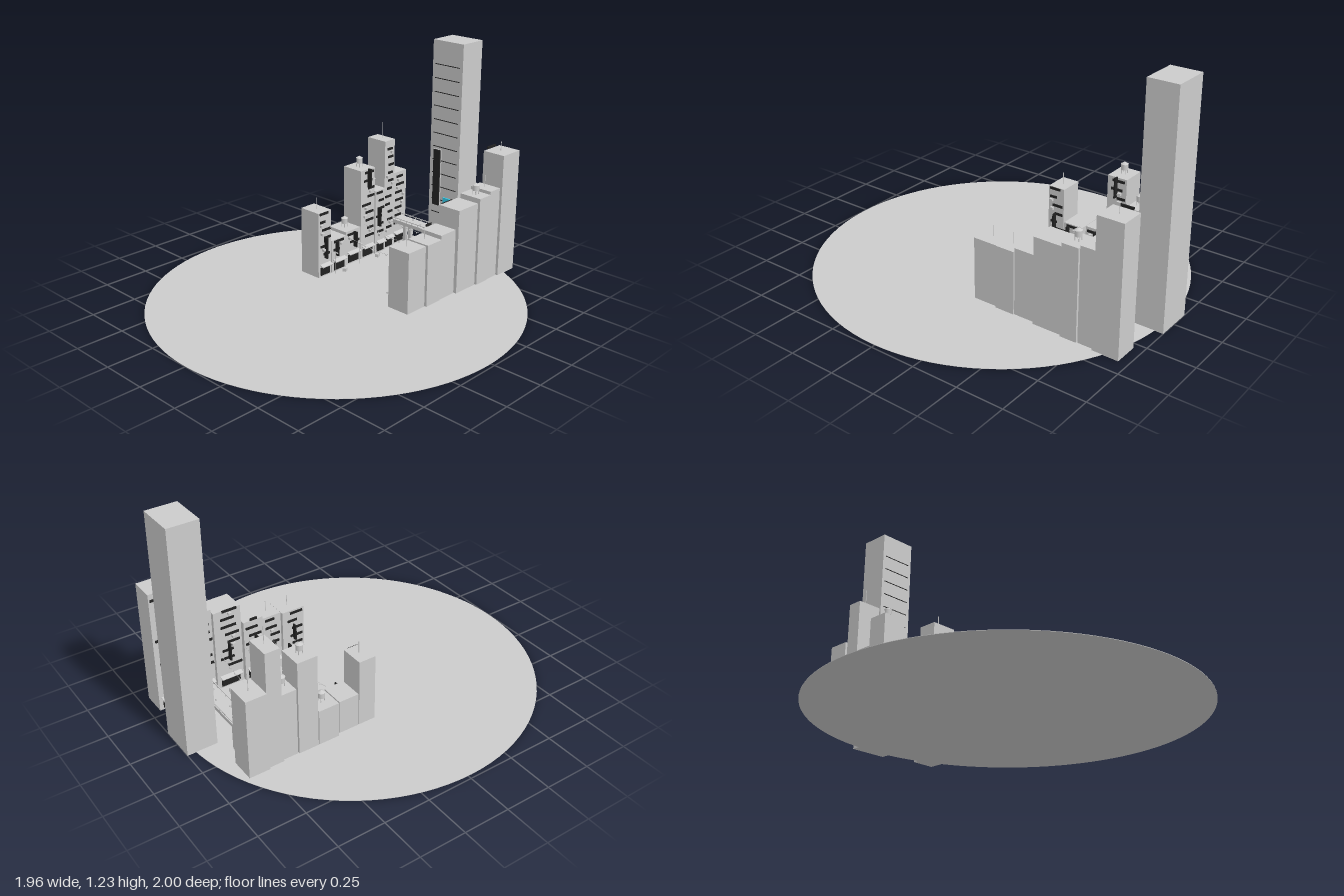
import * as THREE from 'three';

const grey = new THREE.MeshStandardMaterial({ color: 0xcccccc });
const dark = new THREE.MeshStandardMaterial({ color: 0x222222 });
const cyan = new THREE.MeshStandardMaterial({ color: 0x33cfee });

function add(parent, name, geo, mat, x, y, z) {
  const m = new THREE.Mesh(geo, mat);
  m.name = name;
  m.position.set(x, y, z);
  parent.add(m);
  return m;
}

// Box given by its centre in x and z and by its underside
function box(parent, name, w, h, d, x, y, z, mat = grey) {
  return add(parent, name, new THREE.BoxGeometry(w, h, d), mat, x, y + h / 2, z);
}

function rod(parent, name, r, h, x, y, z, mat = grey, sides = 8) {
  return add(parent, name, new THREE.CylinderGeometry(r, r, h, sides), mat, x, y + h / 2, z);
}

// Small seeded generator
let seed = 7;
function rand() {
  seed = (seed * 16807) % 2147483647;
  return seed / 2147483647;
}

// Water tank on legs with a conical roof
function waterTank(parent, x, y, z) {
  const g = new THREE.Group();
  g.name = 'waterTank';
  for (const sx of [-1, 1]) for (const sz of [-1, 1])
    rod(g, 'tankLeg', 0.002, 0.024, sx * 0.011, 0, sz * 0.011);
  rod(g, 'tankBody', 0.018, 0.03, 0, 0.022, 0, grey, 12);
  add(g, 'tankRoof', new THREE.ConeGeometry(0.02, 0.012, 12), grey, 0, 0.058, 0);
  g.position.set(x, y, z);
  parent.add(g);
}

// side: -1 for the row at -x, +1 for the row at +x; inner walls face the street
function building(parent, side, b) {
  const g = new THREE.Group();
  g.name = side < 0 ? 'rightRowBuilding' : 'leftRowBuilding';
  const [inner, z0, z1, h, opt] = b;
  const d = z1 - z0, cz = (z0 + z1) / 2, w = 0.131;
  const cx = side * (inner + w / 2);
  const wall = (out) => side * (inner - out);
  box(g, 'block', w, h, d, cx, 0, cz);

  // Window strips, with a few air conditioners below them
  for (let y = 0.125; y < h - 0.01; y += 0.047) {
    const len = d * (0.4 + 0.25 * rand());
    const off = (rand() - 0.5) * (d - len) * 0.8;
    box(g, 'windowStrip', 0.006, 0.013, len, wall(0.002), y, cz + off, dark);
    if (rand() > 0.6)
      box(g, 'airConditioner', 0.014, 0.013, 0.018, wall(0.007), y - 0.02, cz + (rand() - 0.5) * d * 0.6);
  }

  // Shop front with awning and door
  box(g, 'shopWindow', 0.006, 0.045, d * 0.7, wall(0.002), 0.012, cz, dark);
  const awning = box(g, 'awning', 0.028, 0.005, d * 0.8, wall(0.012), 0.068, cz);
  awning.rotation.z = side * 0.3;

  if (opt.tank) waterTank(g, cx, h, cz);
  if (opt.mast) rod(g, 'antenna', 0.0018, opt.mast, cx - side * 0.005, h, cz, grey, 6);
  if (opt.sign) {
    const [y, sh, sz] = opt.sign;
    box(g, 'bladeSign', 0.024, sh, 0.008, wall(0.014), y, sz, dark);
  }
  if (opt.ledge) box(g, 'roofSign', 0.008, 0.012, opt.ledge, wall(0.002), h + 0.002, cz, dark);
  parent.add(g);
}

// Inner wall distance, back z, front z, height, extras
const rightRow = [
  [0.28, -0.84, -0.727, 0.44, { mast: 0.09 }],
  [0.27, -0.725, -0.645, 0.65, { mast: 0.095 }],
  [0.26, -0.64, -0.56, 0.38, { tank: true, sign: [0.17, 0.11, -0.58] }],
  [0.265, -0.555, -0.445, 0.525, { tank: true, sign: [0.42, 0.11, -0.5] }],
  [0.265, -0.44, -0.325, 0.2, { tank: true, sign: [0.1, 0.09, -0.39] }],
  [0.25, -0.312, -0.2, 0.19, { sign: [0.1, 0.08, -0.23] }],
  [0.25, -0.195, -0.1, 0.375, { mast: 0.065, sign: [0.11, 0.12, -0.145] }],
];
const leftRow = [
  [0.286, -0.95, -0.81, 0.685, { mast: 0.05, ledge: 0.07 }],
  [0.275, -0.805, -0.725, 0.505, { mast: 0.065 }],
  [0.28, -0.72, -0.63, 0.49, { tank: true, sign: [0.24, 0.1, -0.68] }],
  [0.27, -0.625, -0.47, 0.465, { sign: [0.17, 0.1, -0.55] }],
  [0.255, -0.465, -0.35, 0.36, { ledge: 0.04, sign: [0.16, 0.11, -0.4] }],
  [0.26, -0.348, -0.24, 0.34, { mast: 0.06, sign: [0.1, 0.09, -0.29] }],
  [0.25, -0.235, -0.105, 0.335, { mast: 0.06, sign: [0.16, 0.09, -0.17] }],
];

function tower(parent) {
  const g = new THREE.Group();
  g.name = 'tower';
  box(g, 'towerBlock', 0.205, 1.225, 0.162, 0, 0, -0.919);
  for (let i = 0; i < 14; i++)
    box(g, 'floorLine', 0.168, 0.004, 0.004, 0, 0.083 + i * 0.0776, -0.838, dark);
  box(g, 'verticalSign', 0.045, 0.325, 0.014, -0.047, 0.287, -0.832, dark);
  box(g, 'signFrame', 0.05, 0.33, 0.008, -0.047, 0.284, -0.836);
  box(g, 'screen', 0.1, 0.065, 0.008, 0.052, 0.276, -0.833, cyan);
  parent.add(g);
}

function footbridge(parent) {
  const g = new THREE.Group();
  g.name = 'footbridge';
  box(g, 'deck', 0.56, 0.02, 0.084, 0, 0.148, -0.762);
  for (const z of [-0.802, -0.722]) {
    box(g, 'rail', 0.56, 0.004, 0.004, 0, 0.178, z);
    for (let i = -6; i <= 6; i++) box(g, 'railPost', 0.003, 0.012, 0.003, i * 0.042, 0.167, z);
  }
  for (const x of [-0.19, 0.19])
    for (const z of [-0.785, -0.74]) box(g, 'pillar', 0.02, 0.148, 0.02, x, 0, z);
  for (let i = 0; i < 6; i++)
    box(g, 'deckLamp', 0.007, 0.01, 0.007, -0.165 + i * 0.082, 0.168, i % 2 ? -0.745 : -0.778);
  parent.add(g);
}

// Sagging cable across the street with hanging bulbs
function lightString(parent, z, yEnd, sag) {
  const g = new THREE.Group();
  g.name = 'lightString';
  const curve = new THREE.QuadraticBezierCurve3(
    new THREE.Vector3(-0.25, yEnd, z), new THREE.Vector3(0, yEnd - 2 * sag, z - 0.012),
    new THREE.Vector3(0.26, yEnd, z));
  add(g, 'cable', new THREE.TubeGeometry(curve, 20, 0.001, 4), grey, 0, 0, 0);
  for (let i = 1; i < 10; i++) {
    const p = curve.getPoint(i / 10);
    add(g, 'bulb', new THREE.SphereGeometry(0.004, 8, 6), grey, p.x, p.y - 0.004, p.z);
  }
  parent.add(g);
}

function stall(parent, x, z, turn) {
  const g = new THREE.Group();
  g.name = 'streetStall';
  box(g, 'counter', 0.028, 0.02, 0.06, 0, 0, 0);
  for (const sx of [-1, 1]) for (const sz of [-1, 1])
    rod(g, 'stallPost', 0.0015, 0.05, sx * 0.013, 0, sz * 0.028, grey, 6);
  box(g, 'stallRoof', 0.032, 0.004, 0.066, 0, 0.05, 0);
  g.position.set(x, 0, z);
  g.rotation.y = turn;
  parent.add(g);
}

export function createModel() {
  const model = new THREE.Group();
  model.name = 'cityStreet';
  add(model, 'ground', new THREE.CylinderGeometry(0.98, 0.98, 0.002, 96), grey, 0, 0.001, 0.02);
  tower(model);
  rightRow.forEach((b) => building(model, -1, b));
  leftRow.forEach((b) => building(model, 1, b));
  footbridge(model);

  lightString(model, -0.605, 0.225, 0.03);
  lightString(model, -0.46, 0.215, 0.03);
  lightString(model, -0.3, 0.2, 0.03);

  // Street furniture
  stall(model, 0.185, -0.25, 0);
  for (const [x, z, turn] of [[-0.222, -0.54, 0.3], [0.218, -0.575, -0.3], [-0.217, -0.27, 0.4]])
    box(model, 'crate', 0.02, 0.02, 0.024, x, 0, z).rotation.y = turn;
  for (const [x, z] of [[-0.228, -0.21], [0.225, -0.21], [-0.228, -0.4], [0.225, -0.4]]) {
    rod(model, 'lampPost', 0.0016, 0.125, x, 0, z, grey, 6);
    box(model, 'lampHead', 0.018, 0.004, 0.007, x - Math.sign(x) * 0.007, 0.123, z);
  }
  return model;
}
